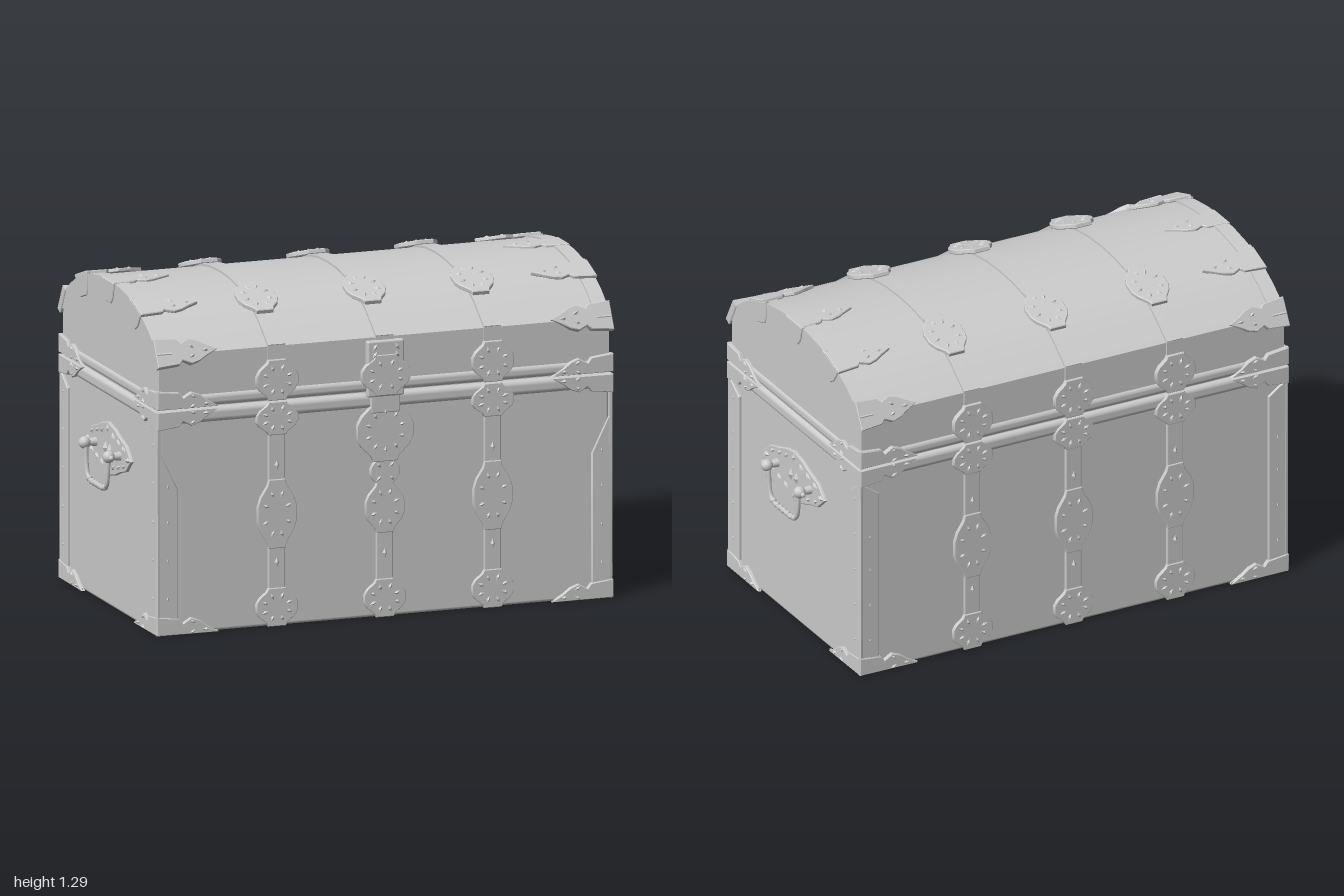
import * as THREE from 'three';
import { toCreasedNormals } from 'three/addons/utils/BufferGeometryUtils.js';
import { RoundedBoxGeometry } from 'three/addons/geometries/RoundedBoxGeometry.js';

const grey = new THREE.MeshStandardMaterial({ color: 0xcccccc });
grey.name = 'plain grey';
const HX = 0.918, HZ = 0.516, SEAM = 0.88;

const add = (parent, name, geo, x = 0, y = 0, z = 0, tilt = 0) => {
  const m = new THREE.Mesh(geo, grey);
  m.name = name;
  m.position.set(x, y, z);
  m.rotation.x = -tilt;
  parent.add(m);
  return m;
};

// Flat metal plate from an outline; its outer face ends at z = depth
function plateGeo(pts, depth = 0.012, sx = 1, sy = 1) {
  const shape = new THREE.Shape(pts.map(([x, y]) => new THREE.Vector2(x * sx, y * sy)));
  const b = 0.003;
  const g = new THREE.ExtrudeGeometry(shape, {
    depth: depth - b, bevelEnabled: true, bevelThickness: b, bevelSize: b, bevelOffset: -b, bevelSegments: 1 });
  return toCreasedNormals(g, 0.6);
}

// Raised diamond studs
const studGeo = new THREE.OctahedronGeometry(1);
function stud(parent, x, y, z, turn = 0, s = 1) {
  const m = add(parent, 'stud', studGeo, x, y, z);
  m.rotation.z = turn;
  m.scale.set(0.009 * s, 0.018 * s, 0.009 * s);
}

// Medallion with a ring of studs, narrowing to the strap at both ends
function medallion(parent, name, x, y, z, w, h, tilt = 0, depth = 0.014, n = 8) {
  const quarter = [[0.42, 1], [0.5, 0.82], [0.85, 0.5], [1, 0.22]];
  const right = [...quarter, ...quarter.slice().reverse().map(([a, b]) => [a, -b])];
  const pts = [...right, ...right.slice().reverse().map(([a, b]) => [-a, b])].map(([a, b]) => [a * w, b * h]);
  const m = add(parent, name, plateGeo(pts, depth), x, y, z, tilt);
  for (let i = 0; i < n; i++) {
    const t = (i + 0.5) / n * Math.PI * 2;
    stud(m, Math.cos(t) * w * 0.62, Math.sin(t) * h * 0.62, depth, t - Math.PI / 2, 0.8);
  }
}

// Scalloped claw; half claws keep only the upper edge
const clawEdge = [[0, 0.058], [0.09, 0.05], [0.105, 0.034], [0.14, 0.05], [0.175, 0.04], [0.205, 0.022], [0.25, 0]];
const halfClaw = [[0, 0], ...clawEdge.map(([x, y]) => [x, y * 1.25])];
const fullClaw = [...clawEdge, ...clawEdge.slice(0, -1).reverse().map(([x, y]) => [x, -y])];
function claw(parent, name, pts, x, y, z, sx, sy, tilt = 0, depth = 0.012) {
  const m = add(parent, name, plateGeo(pts, depth, sx, sy), x, y, z, tilt);
  const c = pts === halfClaw ? 0.028 * sy : 0;
  stud(m, sx * 0.2, c * 0.5, depth, Math.PI / 2, 0.8);
  stud(m, sx * 0.145, c + 0.019, depth, sx * 1.1, 0.75);
  stud(m, sx * 0.145, c - 0.019, depth, -sx * 1.1, 0.75);
}

// Lid cross-section, grown outwards by off
function lidArc(off = 0) {
  const half = [[HZ, 1.095], [0.41, 1.172], [0.3, 1.23], [0.2, 1.255], [0.1, 1.27]];
  const all = [...half, [0, 1.274], ...half.slice().reverse().map(([z, y]) => [-z, y])];
  return all.map(([z, y]) => [z * (1 + off / HZ), y + off]);
}
// Extrude a (z, y) outline along x, centred
function alongX(pts, width) {
  const shape = new THREE.Shape(pts.map(([z, y]) => new THREE.Vector2(-z, y)));
  const g = new THREE.ExtrudeGeometry(shape, { depth: width, bevelEnabled: false });
  g.translate(0, 0, -width / 2).rotateY(Math.PI / 2);
  return toCreasedNormals(g, 0.45);
}

// One long face: straps, medallions, lip brackets, corner plates
function longFace(root, front) {
  const g = new THREE.Group();
  g.name = front ? 'frontFittings' : 'backFittings';
  g.rotation.y = front ? 0 : Math.PI;
  root.add(g);
  for (const x of [-0.44, 0, 0.44]) {
    const latch = front && x === 0;
    add(g, 'bodyStrap', new RoundedBoxGeometry(0.07, 0.82, 0.018, 2, 0.006), x, 0.41, HZ);
    add(g, 'lidStrap', new THREE.BoxGeometry(0.07, 0.2, 0.016), x, 1.0, HZ);
    medallion(g, 'footMedallion', x, 0.075, HZ, 0.085, 0.075);
    medallion(g, 'middleMedallion', x, latch ? 0.43 : 0.44, HZ, 0.08, latch ? 0.1 : 0.135);
    for (const y of [0.25, 0.63]) stud(g, x, y, HZ + 0.009, 0, 1.1);
    medallion(g, 'lidMedallion', x, 1.232, 0.3, 0.08, 0.105, 1.24, 0.016);
    if (latch) {
      medallion(g, 'latchPlate', 0, 0.73, HZ, 0.115, 0.12, 0, 0.018, 10);
      medallion(g, 'latchNeck', 0, 0.57, HZ, 0.06, 0.06, 0, 0.014, 4);
      add(g, 'latchHasp', new RoundedBoxGeometry(0.15, 0.22, 0.03, 2, 0.008), 0, 0.975, HZ + 0.009);
      medallion(g, 'haspPlate', 0, 0.95, HZ + 0.01, 0.1, 0.08, 0, 0.017);
      add(g, 'haspTongue', new RoundedBoxGeometry(0.12, 0.08, 0.024, 2, 0.006), 0, 0.84, HZ + 0.008);
      for (const s of [-1, 1]) for (const y of [1.03, 1.06]) stud(g, s * 0.045, y, HZ + 0.024, s * 0.6, 0.9);
    } else {
      medallion(g, 'lipMedallionLower', x, 0.815, HZ, 0.085, 0.065, 0, 0.018);
      medallion(g, 'lipMedallionUpper', x, 0.965, HZ, 0.085, 0.08, 0, 0.018);
    }
  }
  for (const s of [-1, 1]) {
    claw(g, 'footBracket', halfClaw, s * 0.93, 0, HZ, -s, 1, 0, 0.016);
    claw(g, 'lipBracketLower', halfClaw, s * 0.93, SEAM - 0.004, HZ, -s, -1, 0, 0.018);
    claw(g, 'lipBracketUpper', halfClaw, s * 0.93, SEAM + 0.004, HZ, -s, 1, 0, 0.018);
    claw(g, 'lidShoulderClaw', fullClaw, s * 0.93, 1.09, HZ - 0.025, -s, 1, 0.5, 0.03);
    claw(g, 'lidTopClaw', fullClaw, s * 0.93, 1.232, 0.3, -s, 1, 1.24);
    const top = front ? [0.57, 0.74] : [0.76, 0.82];
    add(g, 'cornerPost', plateGeo([[0.845, 0.04], [0.93, 0.04], [0.93, top[1]], [0.845, top[0]]], 0.01, s), 0, 0, HZ);
    for (const y of [0.14, 0.29, 0.44, 0.58]) stud(g, s * 0.885, y, HZ + 0.01, 0, 0.5);
  }
}

// One end: posts, brackets, lid rim and carrying handle (built facing +z)
function endFace(root, s) {
  const g = new THREE.Group();
  g.name = s > 0 ? 'leftEnd' : 'rightEnd';
  g.rotation.y = s * Math.PI / 2;
  root.add(g);
  for (const k of [-1, 1]) {
    claw(g, 'footBracket', halfClaw, k * 0.53, 0, HX, -k, 1, 0, 0.014);
    claw(g, 'lipBracketLower', halfClaw, k * 0.53, SEAM - 0.004, HX, -k, -1, 0, 0.014);
    claw(g, 'lipBracketUpper', halfClaw, k * 0.53, SEAM + 0.004, HX, -k, 1, 0, 0.014);
    add(g, 'cornerPost', plateGeo([[0.44, 0.04], [0.527, 0.04], [0.527, 0.82], [0.44, 0.76]], 0.011, k), 0, 0, HX);
    for (const y of [0.14, 0.29, 0.44, 0.59, 0.74]) stud(g, k * 0.485, y, HX + 0.011, 0, 0.5);
  }
  // Arched rim and the tabs folded over it
  const inner = [[-0.516, 1.07], [-0.3, 1.155], [0, 1.19], [0.3, 1.155], [0.516, 1.07]];
  add(g, 'lidRim', plateGeo([...lidArc(0.006), ...inner], 0.007), 0, 0, HX);
  const tab = [[-0.065, 0], [0.065, 0], [0.05, -0.06], [0.03, -0.085], [-0.03, -0.085], [-0.05, -0.06]];
  for (const [x, y, r] of [[-0.29, 1.24, 0.33], [0, 1.28, 0], [0.29, 1.24, -0.33]])
    add(g, 'lidTab', plateGeo(tab, 0.013), x, y, HX).rotation.z = r;

  // Handle plate with scalloped pointed outline
  const edge = [[0.245, 0], [0.19, 0.05], [0.12, 0.07], [0.07, 0.09], [0, 0.105]];
  const up = [...edge, ...edge.slice(0, -1).reverse().map(([x, y]) => [-x, y])];
  const outline = [...up, ...up.slice(1, -1).reverse().map(([x, y]) => [x, -y])];
  const plate = add(g, 'handlePlate', plateGeo(outline, 0.012), 0, 0.62, HX);
  for (const k of [-1, 1]) {
    stud(plate, k * 0.215, 0, 0.012, Math.PI / 2, 1.2);
    stud(plate, k * 0.022, 0, 0.012, 0, 1.5);
    for (const j of [-1, 1]) {
      stud(plate, k * 0.17, j * 0.035, 0.012, k * j * 1.1);
      stud(plate, k * 0.115, j * 0.05, 0.012, k * j * 1.1);
      stud(plate, k * 0.06, j * 0.062, 0.012, k * j * 0.9);
    }
    stud(plate, 0, k * 0.08, 0.012, 0);
    const peg = add(g, 'handlePeg', new THREE.CylinderGeometry(0.012, 0.02, 0.06, 10), k * 0.13, 0.62, 0.945);
    peg.rotation.x = Math.PI / 2;
    add(g, 'handleKnob', new THREE.SphereGeometry(0.024, 12, 8), k * 0.13, 0.62, 0.976);
    add(g, 'handleFinial', new THREE.SphereGeometry(0.01, 8, 6), k * 0.158, 0.62, 0.976);
  }
  const bail = [[-0.12, 0.62], [-0.112, 0.53], [-0.1, 0.5], [-0.06, 0.482], [0, 0.485], [0.06, 0.482], [0.1, 0.5], [0.112, 0.53], [0.12, 0.62]];
  const curve = new THREE.CatmullRomCurve3(bail.map(([x, y]) => new THREE.Vector3(x, y, 0.974)));
  add(g, 'handleBail', new THREE.TubeGeometry(curve, 32, 0.009, 8), 0, 0, 0);
  for (let i = 0; i < 7; i++) {
    const bead = add(g, 'handleTwist', new THREE.SphereGeometry(0.012, 8, 6), (i - 3) * 0.028, Math.abs(i - 3) === 3 ? 0.49 : 0.484, 0.974);
    bead.scale.x = 1.4;
    bead.rotation.z = 0.4;
  }
}

export function createModel() {
  const root = new THREE.Group();
  root.name = 'treasureChest';

  // Body and arched lid
  add(root, 'body', new RoundedBoxGeometry(HX * 2, SEAM - 0.003, HZ * 2, 2, 0.012), 0, (SEAM - 0.003) / 2, 0);
  add(root, 'lid', alongX([[-HZ, SEAM + 0.003], [HZ, SEAM + 0.003], ...lidArc()], HX * 2));

  // Rounded lips either side of the seam
  add(root, 'bodyLip', new RoundedBoxGeometry(1.85, 0.058, 1.052, 3, 0.02), 0, 0.848, 0);
  add(root, 'lidLip', new RoundedBoxGeometry(1.85, 0.05, 1.052, 3, 0.02), 0, 0.908, 0);

  // Straps over the arch, and claws along its crown
  for (const x of [-0.44, 0, 0.44])
    add(root, 'archStrap', alongX([[-HZ, 1.08], [HZ, 1.08], ...lidArc(0.008)], 0.07), x, 0, 0);
  for (const s of [-1, 1]) {
    claw(root, 'crownClaw', fullClaw, s * 0.93, 1.27, 0, -s, 1, Math.PI / 2);
    add(root, 'archEdge', alongX([[-HZ, 1.06], [HZ, 1.06], ...lidArc(0.006)], 0.06), s * 0.896, 0, 0);
  }

  longFace(root, true);
  longFace(root, false);
  endFace(root, 1);
  endFace(root, -1);

  // Corner plates wrapped under the floor
  for (const sx of [-1, 1]) for (const sz of [-1, 1])
    add(root, 'floorCorner', plateGeo([[0.928, 0.528], [0.68, 0.528], [0.78, 0.46], [0.87, 0.37], [0.928, 0.28]], 0.006, sx, sz), 0, 0.006, 0, -Math.PI / 2);
  return root;
}
